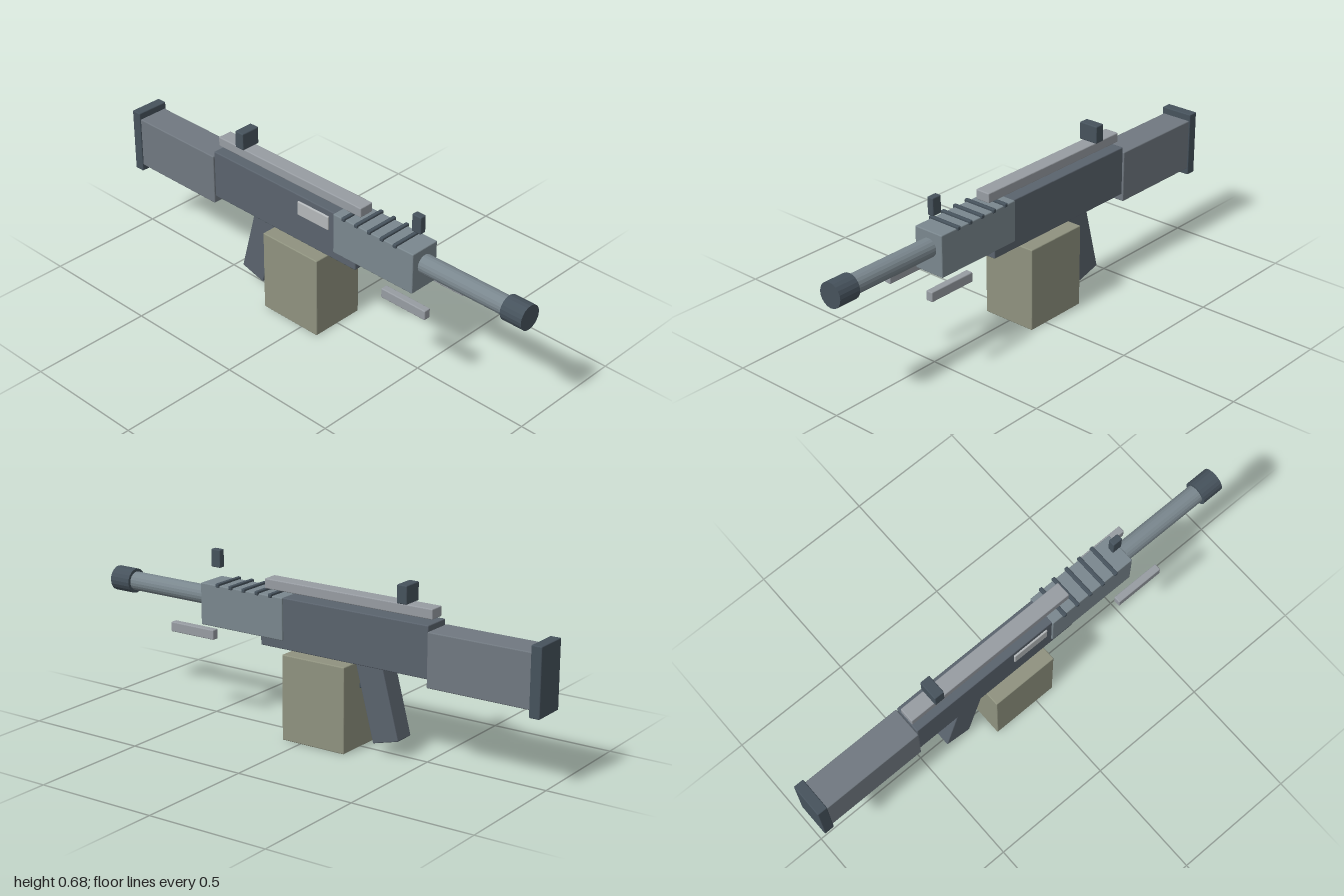
import * as THREE from 'three';
import { RoundedBoxGeometry } from 'three/addons/geometries/RoundedBoxGeometry.js';

const paint = (color) => new THREE.MeshStandardMaterial({ color, flatShading: true });

export function createModel() {
  const model = new THREE.Group();
  const dark = paint(0x46525c), gunmetal = paint(0x5a636d), stockGrey = paint(0x707880);
  const steel = paint(0x7a878e), light = paint(0x979ca2), pale = paint(0xb4b8ba), olive = paint(0x8f927f);

  const add = (name, geometry, material, x, y, z = 0) => {
    const mesh = new THREE.Mesh(geometry, material);
    mesh.name = name;
    mesh.position.set(x, y, z);
    model.add(mesh);
    return mesh;
  };
  // Softly bevelled block given by its limits
  const block = (name, material, x0, x1, y0, y1, z0, z1) =>
    add(name, new RoundedBoxGeometry(x1 - x0, y1 - y0, z1 - z0, 2, 0.004), material,
      (x0 + x1) / 2, (y0 + y1) / 2, (z0 + z1) / 2);
  // Cylinder lying along x
  const rod = (name, material, x0, x1, y, radius, sides) =>
    add(name, new THREE.CylinderGeometry(radius, radius, x1 - x0, sides).rotateZ(-Math.PI / 2),
      material, (x0 + x1) / 2, y);

  // Stock and body
  block('buttPlate', dark, -1, -0.957, 0.285, 0.553, -0.07, 0.07);
  block('stock', stockGrey, -0.96, -0.53, 0.312, 0.525, -0.065, 0.065);
  block('receiver', gunmetal, -0.53, 0.228, 0.343, 0.547, -0.059, 0.059);
  block('handguard', steel, 0.12, 0.516, 0.378, 0.548, -0.066, 0.066);
  block('ejectionPort', pale, -0.067, 0.094, 0.462, 0.522, 0.05, 0.066);

  // Cooling ribs across the handguard
  for (let i = 0; i < 5; i++) {
    const x = 0.176 + i * 0.0635;
    block('handguardRib', dark, x - 0.008, x + 0.008, 0.541, 0.557, -0.073, 0.073);
  }

  // Barrel
  rod('barrel', steel, 0.5, 0.92, 0.481, 0.038, 20);
  rod('muzzle', dark, 0.906, 1, 0.481, 0.05, 20);

  // Top cover and sights
  block('topCover', light, -0.53, 0.228, 0.562, 0.602, -0.032, 0.032);
  block('rearSight', dark, -0.425, -0.382, 0.603, 0.675, -0.042, 0.042);
  block('frontSight', dark, 0.46, 0.503, 0.603, 0.675, -0.014, 0.014);

  // Ammunition box, trigger and raked grip
  block('ammunitionBox', olive, -0.202, 0.084, 0, 0.343, -0.117, 0.117);
  block('trigger', dark, -0.27, -0.18, 0.236, 0.258, -0.012, 0.012);
  const grip = add('grip', new RoundedBoxGeometry(0.116, 0.34, 0.09, 2, 0.004), gunmetal, -0.298, 0.22);
  grip.rotation.z = -0.26;

  // Folded bipod legs
  for (const side of [-1, 1]) {
    const leg = block('bipodLeg', light, 0.414, 0.626, 0.343, 0.383, -0.015, 0.015);
    leg.position.z = side * 0.105;
  }
  return model;
}
